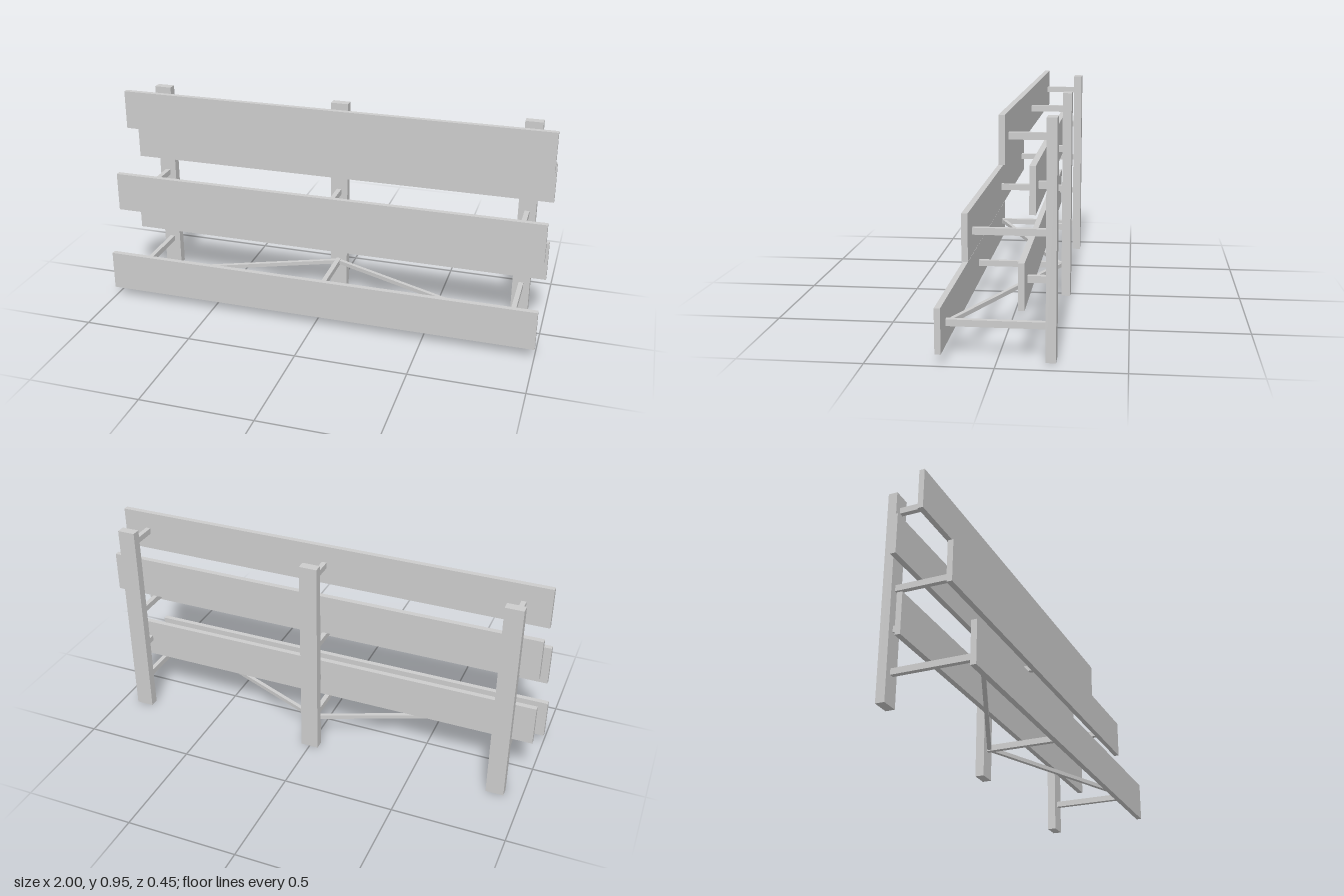
import * as THREE from 'three';

const material = new THREE.MeshStandardMaterial({ color: 0xcccccc, flatShading: true });

function box(name, size, position) {
  const mesh = new THREE.Mesh(new THREE.BoxGeometry(...size), material);
  mesh.name = name;
  mesh.position.set(...position);
  return mesh;
}

export function createModel() {
  const model = new THREE.Group();
  model.name = 'slattedBarrier';

  const postX = [-0.882, 0, 0.882];
  const postFront = -0.186;
  const boardDepth = 0.024;
  // height and centre depth of each board, bottom to top
  const levels = [
    [0.137, 0.214], [0.319, -0.102], [0.5, 0.107], [0.681, -0.143], [0.863, -0.032],
  ];

  // upright posts at the back
  for (const x of postX) model.add(box('post', [0.08, 0.936, 0.04], [x, 0.468, -0.206]));

  // boards, each held off the posts by three arms
  for (const [y, z] of levels) {
    model.add(box('board', [2, 0.181, boardDepth], [0, y, z]));
    const armEnd = z - boardDepth / 2;
    for (const x of postX) {
      model.add(box('arm', [0.022, 0.027, armEnd - postFront], [x, y, (armEnd + postFront) / 2]));
    }
  }

  // diagonal braces from the middle post to the outer ends of the lowest arms
  for (const side of [-1, 1]) {
    const dx = side * 0.882, z0 = -0.178, z1 = 0.193;
    const brace = box('brace', [0.018, 0.018, Math.hypot(dx, z1 - z0)],
      [dx / 2, levels[0][0], (z0 + z1) / 2]);
    brace.rotation.y = Math.atan2(dx, z1 - z0);
    model.add(brace);
  }

  return model;
}
